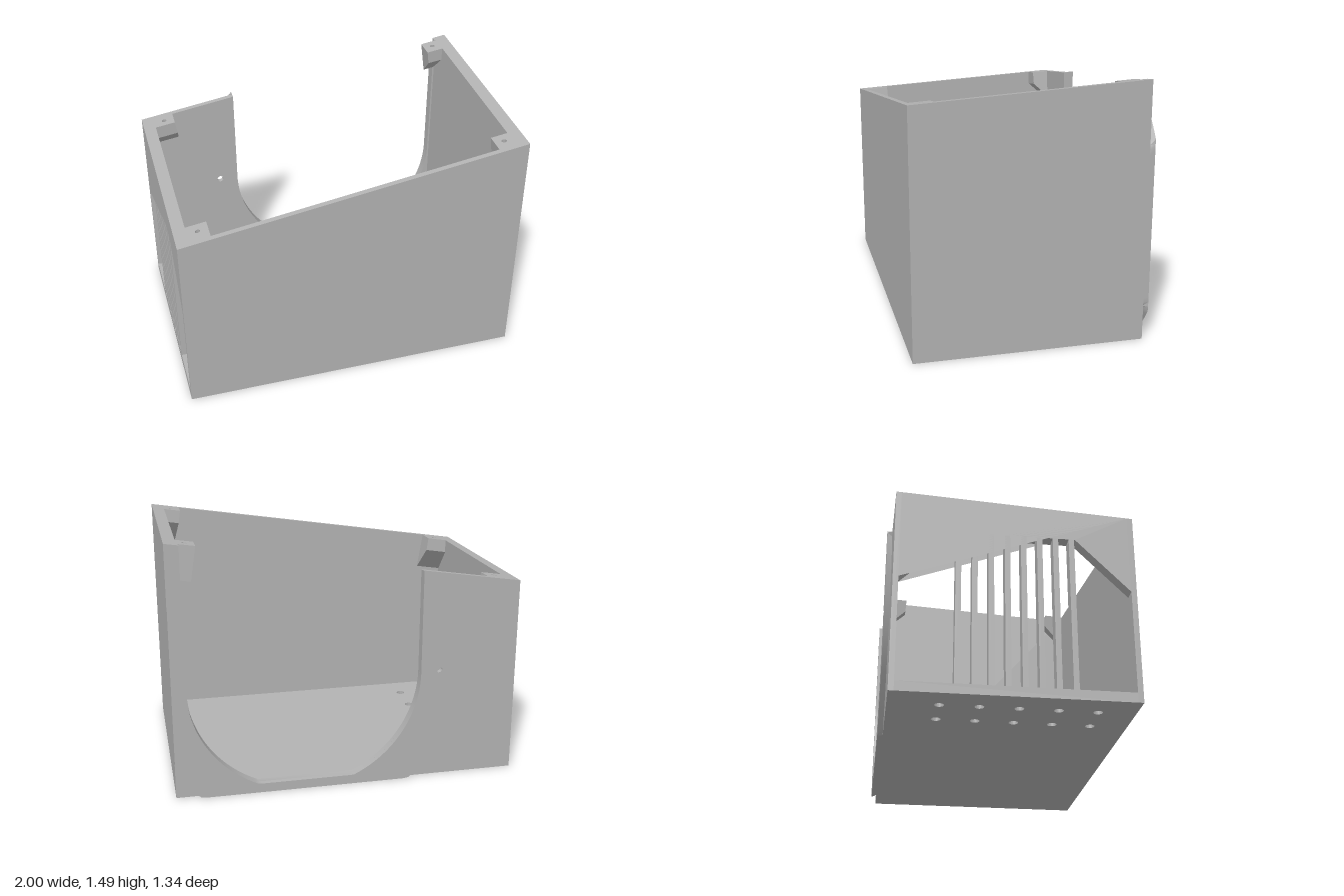
import * as THREE from 'three';
import { toCreasedNormals } from 'three/addons/utils/BufferGeometryUtils.js';

const TOP = 9;                                   // marker: vertex is moved onto the sloping rim
const SX = 0.16, SZ = -0.0534;                   // slopes of the rim plane
const rimY = (x, z) => 1.26 + SX * x + SZ * (z - 0.67);
const FLOOR = 0.055, FRONT = 0.67, BACK = -0.64, WALL = 0.03, SIDE = 0.07;
const CX = 0.25, CY = 0.665, R_CUT = 0.67;       // round opening in the back

export function createModel() {
  const group = new THREE.Group();
  const grey = new THREE.MeshStandardMaterial({ color: 0xb2b2b2 });

  const add = (name, geo, parent = group) => {
    const mesh = new THREE.Mesh(toCreasedNormals(geo, 0.5), grey);
    mesh.name = name;
    parent.add(mesh);
    return mesh;
  };
  const shapeOf = pts => new THREE.Shape(pts.map(p => new THREE.Vector2(p[0], p[1])));
  const extrude = (shape, depth) =>
    new THREE.ExtrudeGeometry(shape, { depth, bevelEnabled: false, curveSegments: 16 });
  const drill = (shape, x, y, r) =>
    shape.holes.push(new THREE.Path().absarc(x, y, r, 0, Math.PI * 2, true));
  // Trim marked vertices to the sloping rim
  const trim = geo => {
    const p = geo.attributes.position;
    for (let i = 0; i < p.count; i++)
      if (p.getY(i) > TOP - 1) p.setY(i, rimY(p.getX(i), p.getZ(i)));
    return geo;
  };

  // Floor with two rows of drain holes
  const floor = shapeOf([[-1, 0.61], [-1, -0.64], [0.93, -0.64], [0.93, 0.61]]);
  for (const x of [-0.835, -0.63])
    for (let i = 0; i < 5; i++) drill(floor, x, 0.37 - i * 0.209, 0.026);
  add('floor', extrude(floor, FLOOR).rotateX(-Math.PI / 2));

  // Front wall
  add('frontWall', trim(extrude(shapeOf([[-1, 0], [1, 0], [1, TOP], [-1, TOP]]), WALL)
    .translate(0, 0, FRONT - WALL)));

  // Side walls, drawn in (z, y)
  const sideWall = (name, pts, xOuter) =>
    add(name, trim(extrude(shapeOf(pts), SIDE).rotateY(-Math.PI / 2).translate(xOuter, 0, 0)));
  sideWall('leftWall', [[-0.61, 0], [0.64, 0], [0.64, TOP], [-0.61, TOP]], 1);
  sideWall('rightWallArch', [[-0.61, 0.65], [-0.31, 0.94], [0.34, 0.94], [0.64, 0.64],
    [0.64, TOP], [-0.61, TOP]], -1 + SIDE);

  // Vent slats in the right wall
  const slats = new THREE.Group();
  slats.name = 'ventSlats';
  group.add(slats);
  const slatHeight = 0.94 - FLOOR;
  for (let i = 0; i < 8; i++)
    add('slat', new THREE.BoxGeometry(SIDE, slatHeight, 0.03)
      .translate(-1 + SIDE / 2, FLOOR + slatHeight / 2, -0.295 + i * 0.088), slats);

  // Back wall with a U-shaped opening cut flat at floor level
  const flat = Math.asin((CY - FLOOR) / R_CUT);
  const outline = [[-1, 0], [1, 0], [1, TOP], [CX + R_CUT, TOP]];
  const arc = (a, b) => {
    for (let i = 0; i <= 32; i++) {
      const t = a + (b - a) * i / 32;
      outline.push([CX + R_CUT * Math.cos(t), CY + R_CUT * Math.sin(t)]);
    }
  };
  arc(0, -flat);
  arc(-Math.PI + flat, -Math.PI);
  outline.push([CX - R_CUT, TOP], [-1, TOP]);
  const back = shapeOf(outline);
  drill(back, -0.535, CY, 0.02);
  add('backWall', trim(extrude(back, WALL).translate(0, 0, BACK)));

  // Raised ring around the opening, limited by the left side and the base
  const R_OUT = 0.9, R_IN = 0.875;
  const inner = t => {
    const s = Math.sin(t);
    return s < 0 ? Math.min(R_CUT, (CY - FLOOR) / -s) : R_CUT / Math.abs(Math.cos(t));
  };
  const outer = (r, t) => {
    const c = Math.cos(t), s = Math.sin(t);
    return Math.min(r, c > 0 ? 0.75 / c : r, s < 0 ? CY / -s : r);
  };
  const polar = (r, t) => [CX + r * Math.cos(t), CY + r * Math.sin(t)];
  const end = Math.acos(R_CUT / R_OUT), N = 160;
  const angle = i => end - (Math.PI + 2 * end) * i / N;
  const ringPts = [];
  for (let i = 0; i <= N; i++) ringPts.push(polar(outer(R_OUT, angle(i)), angle(i)));
  for (let i = N - 1; i > 0; i--) ringPts.push(polar(inner(angle(i)), angle(i)));
  const ring = shapeOf(ringPts);
  drill(ring, -0.535, CY, 0.02);
  const ringGeo = extrude(ring, WALL).translate(0, 0, BACK - WALL);
  // Bevel: the rim narrows where it meets the wall
  const rp = ringGeo.attributes.position;
  for (let i = 0; i < rp.count; i++) {
    const dx = rp.getX(i) - CX, dy = rp.getY(i) - CY, t = Math.atan2(dy, dx);
    if (rp.getZ(i) < BACK - 0.01 || Math.abs(Math.hypot(dx, dy) - outer(R_OUT, t)) > 1e-4) continue;
    const [x, y] = polar(Math.max(outer(R_IN, t), inner(t)), t);
    rp.setXY(i, x, y);
  }
  add('backRing', ringGeo);

  // Screw brackets in the corners, square to the sloping rim
  const tilt = new THREE.Quaternion().setFromUnitVectors(
    new THREE.Vector3(0, 1, 0), new THREE.Vector3(-SX, 1, -SZ).normalize());
  const bracket = (name, x0, x1, zWall, zFree, hx, hz) => {
    const part = new THREE.Group();
    part.name = name;
    part.position.set(hx, rimY(hx, hz), hz);
    part.quaternion.copy(tilt);
    group.add(part);
    const a = x0 - hx, b = x1 - hx, w = zWall - hz, f = zFree - hz, h = 0.08;
    const z0 = Math.min(w, f), z1 = Math.max(w, f);
    const block = shapeOf([[a, -z1], [b, -z1], [b, -z0], [a, -z0]]);
    drill(block, 0, 0, 0.014);
    add('bracketBlock', extrude(block, h).rotateX(-Math.PI / 2).translate(0, -h, 0), part);
    // 45 degree support under the block
    const wedge = shapeOf([[w, -h], [f, -h], [w, -h - Math.abs(w - f)]]);
    add('bracketSupport', extrude(wedge, b - a).rotateY(-Math.PI / 2).translate(b, 0, 0), part);
  };
  bracket('frontRightBracket', -0.97, -0.81, 0.65, 0.51, -0.87, 0.57);
  bracket('backRightBracket', -0.97, -0.81, -0.62, -0.51, -0.87, -0.56);
  bracket('frontLeftBracket', 0.83, 0.95, 0.65, 0.52, 0.885, 0.58);
  bracket('backLeftBracket', 0.83, 0.95, -0.605, -0.49, 0.885, -0.55);

  return group;
}
